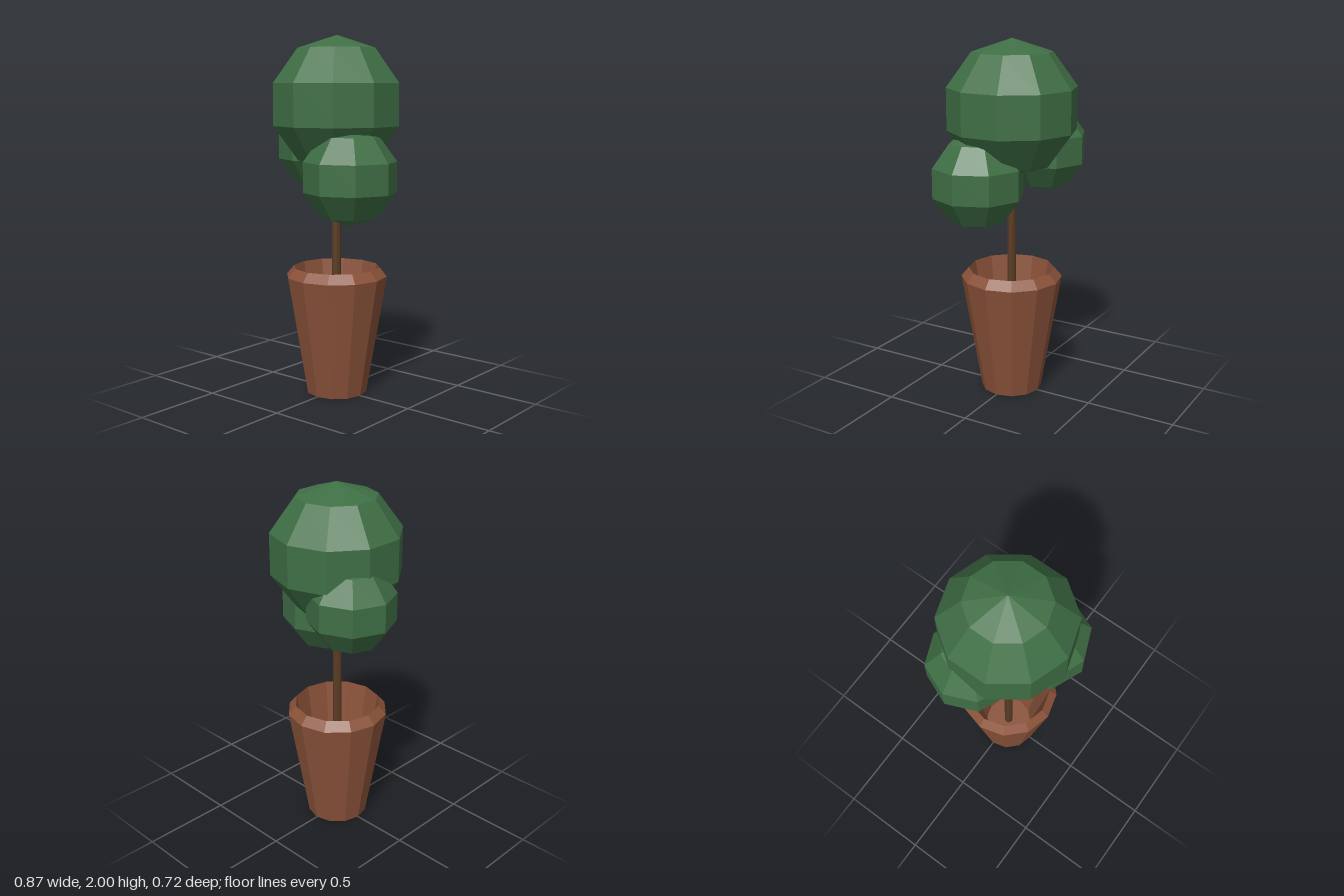
import * as THREE from 'three';

const paint = (color) => new THREE.MeshStandardMaterial({ color, flatShading: true });

export function createModel() {
  const model = new THREE.Group();
  const leaf = paint(0x3f6f45);
  const clay = paint(0x8a5239);
  const bark = paint(0x5a3c24);

  const add = (name, geometry, material, x = 0, y = 0, z = 0) => {
    const mesh = new THREE.Mesh(geometry, material);
    mesh.name = name;
    mesh.position.set(x, y, z);
    model.add(mesh);
    return mesh;
  };

  // Tapered pot: base, outer wall, bevelled rim, hollow inside and floor
  const profile = [
    [0, 0], [0.172, 0], [0.285, 0.67], [0.242, 0.72], [0.14, 0.08], [0, 0.08],
  ].map(([r, y]) => new THREE.Vector2(r, y));
  add('pot', new THREE.LatheGeometry(profile, 12), clay);

  // Thin trunk from the pot floor into the crown
  add('trunk', new THREE.CylinderGeometry(0.025, 0.025, 1.4, 8), bark, 0, 0.77, 0);

  // Faceted balls of foliage
  const crown = add('crownFoliage', new THREE.SphereGeometry(0.375, 10, 5), leaf, 0, 1.625, -0.004);
  crown.rotation.y = Math.PI / 2;
  add('frontFoliage', new THREE.SphereGeometry(0.266, 8, 5), leaf, 0.18, 1.243, 0.104);
  add('backFoliage', new THREE.SphereGeometry(0.25, 8, 5), leaf, -0.197, 1.39, -0.094);

  return model;
}
